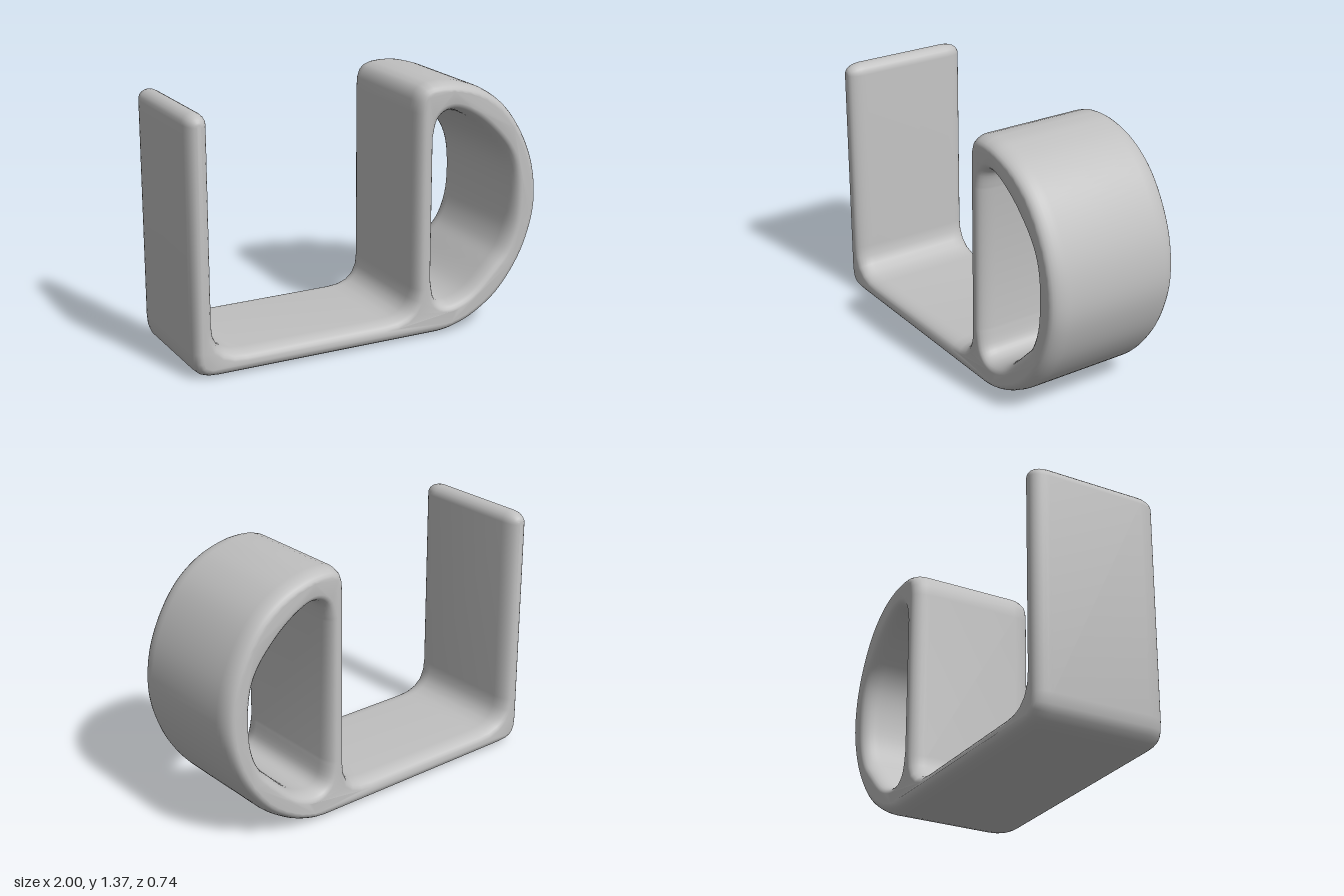
import * as THREE from 'three';
import { mergeVertices, toCreasedNormals } from 'three/addons/utils/BufferGeometryUtils.js';

const points = (list) => list.map(([x, y]) => new THREE.Vector2(x, y));

// Side profile: an upright wall, a floor, and a D-shaped loop
function hookProfile() {
  const s = new THREE.Shape();
  s.moveTo(-0.86, 0);
  s.lineTo(0.4, 0);
  s.splineThru(points([
    [0.49, 0.015], [0.62, 0.065], [0.77, 0.17], [0.9, 0.34], [0.975, 0.52], [1, 0.69],
    [0.975, 0.88], [0.9, 1.06], [0.79, 1.21], [0.65, 1.31], [0.5, 1.36], [0.4, 1.37],
  ]));
  s.bezierCurveTo(0.29, 1.37, 0.255, 1.34, 0.255, 1.22);
  // Inside of the channel, with filleted corners
  s.lineTo(0.255, 0.27);
  s.bezierCurveTo(0.255, 0.16, 0.2, 0.115, 0.08, 0.115);
  s.lineTo(-0.71, 0.115);
  s.bezierCurveTo(-0.83, 0.115, -0.885, 0.16, -0.885, 0.27);
  // Rounded wall top
  s.lineTo(-0.885, 1.2975);
  s.absarc(-0.9425, 1.2975, 0.0575, 0, Math.PI, false);
  s.lineTo(-1, 0.14);
  s.bezierCurveTo(-1, 0.03, -0.96, 0, -0.86, 0);

  // Opening of the loop
  const hole = new THREE.Path();
  hole.moveTo(0.365, 0.31);
  hole.lineTo(0.365, 1.08);
  hole.splineThru(points([
    [0.39, 1.175], [0.46, 1.21], [0.56, 1.175], [0.68, 1.085], [0.795, 0.95], [0.842, 0.8],
    [0.842, 0.58], [0.795, 0.43], [0.71, 0.33], [0.58, 0.21], [0.46, 0.167], [0.39, 0.2],
    [0.365, 0.31],
  ]));
  s.holes.push(hole);
  return s;
}

export function createModel() {
  const grey = new THREE.MeshStandardMaterial({ color: 0xc0c0c0 });
  grey.name = 'plain grey';

  // Extruded body with soft elliptical edges
  const halfDepth = 0.355, edge = 0.09, inset = 0.047;
  let geo = new THREE.ExtrudeGeometry(hookProfile(), {
    depth: 2 * (halfDepth - edge), curveSegments: 5,
    bevelEnabled: true, bevelThickness: edge, bevelSize: inset, bevelOffset: -inset, bevelSegments: 6,
  });
  geo.translate(0, 0, -(halfDepth - edge));

  // The loop is slightly deeper than the channel
  const p = geo.attributes.position;
  for (let i = 0; i < p.count; i++) {
    const k = 1 + 0.045 * THREE.MathUtils.smoothstep(p.getX(i), 0.1, 0.6);
    p.setZ(i, p.getZ(i) * k);
  }

  geo.deleteAttribute('uv');
  geo.deleteAttribute('normal');
  geo.clearGroups();
  geo = toCreasedNormals(mergeVertices(geo, 1e-5), Math.PI / 3);

  const body = new THREE.Mesh(geo, grey);
  body.name = 'hookBody';
  const group = new THREE.Group();
  group.name = 'loopedHook';
  group.add(body);
  return group;
}
